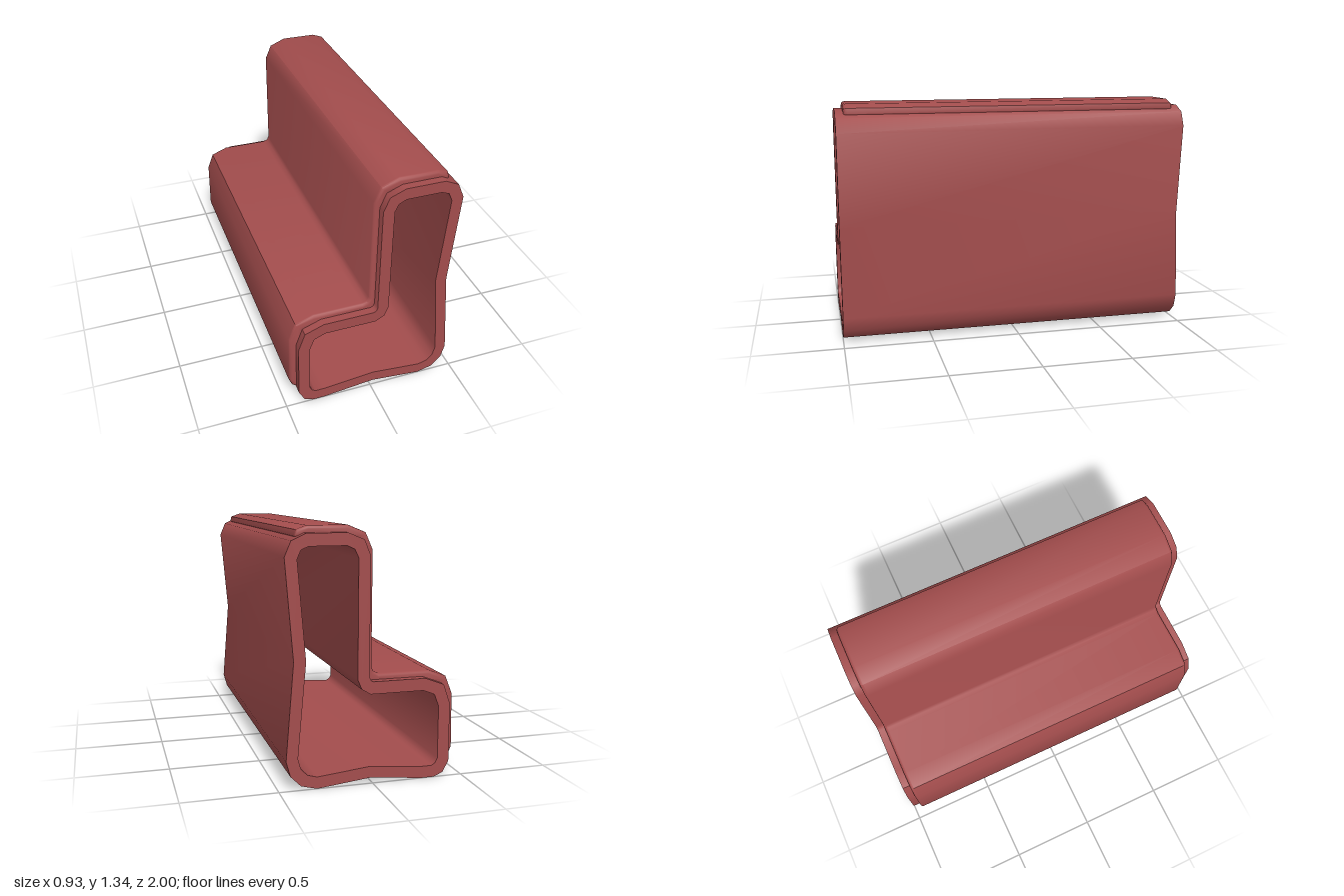
import * as THREE from 'three';
import { toCreasedNormals } from 'three/addons/utils/BufferGeometryUtils.js';

// Cross-sections in x, y, counter-clockwise
const bodyOuter = [
  [0.012, 0.034], [0.30, 0.003], [0.385, 0.025], [0.44, 0.08], [0.462, 0.16],
  [0.42, 0.67], [0.464, 1.19], [0.43, 1.27], [0.355, 1.305], [0.14, 1.305],
  [0.055, 1.27], [0.022, 1.19], [0.022, 0.57], [0.015, 0.553], [0.0, 0.545], [-0.285, 0.545],
  [-0.39, 0.505], [-0.427, 0.40], [-0.427, 0.085], [-0.395, 0.025],
  [-0.345, 0.003], [-0.275, 0.003],
];
const bodyInner = [
  [0.015, 0.095], [0.30, 0.066], [0.35, 0.08], [0.385, 0.115], [0.40, 0.17],
  [0.356, 0.67], [0.40, 1.18], [0.38, 1.225], [0.34, 1.241], [0.145, 1.241],
  [0.105, 1.222], [0.085, 1.18], [0.085, 0.56], [0.063, 0.508], [0.015, 0.48],
  [-0.275, 0.48], [-0.338, 0.455], [-0.363, 0.39], [-0.363, 0.105],
  [-0.35, 0.08], [-0.33, 0.067], [-0.275, 0.067],
];
const padOuter = [
  [0.40, 1.29], [0.393, 1.32], [0.335, 1.341], [0.125, 1.341], [0.03, 1.302],
  [-0.008, 1.215], [-0.008, 0.61], [-0.02, 0.585], [-0.045, 0.575],
  [-0.325, 0.575], [-0.425, 0.536], [-0.463, 0.44], [-0.467, 0.145],
  [-0.448, 0.10], [-0.42, 0.082],
];
// Hidden back of the cushion, buried in the middle of the body wall
const padBuried = [
  [-0.395, 0.10], [-0.395, 0.395], [-0.365, 0.48], [-0.28, 0.512], [0.01, 0.512],
  [0.035, 0.53], [0.053, 0.565], [0.053, 1.185], [0.08, 1.245], [0.14, 1.272],
  [0.345, 1.272], [0.385, 1.265],
];

const toPoints = (list) => list.map(([x, y]) => new THREE.Vector2(x, y));

// Extrudes a cross-section along z, centred, with optional rounded ends
function extrude(name, shape, length, bevel, material) {
  const geometry = new THREE.ExtrudeGeometry(shape, {
    depth: length - 2 * bevel,
    bevelEnabled: bevel > 0,
    bevelThickness: bevel,
    bevelSize: bevel,
    bevelOffset: -bevel,
    bevelSegments: 3,
  });
  geometry.translate(0, 0, -length / 2 + bevel);
  const mesh = new THREE.Mesh(toCreasedNormals(geometry, 0.8), material);
  mesh.name = name;
  return mesh;
}

export function createModel() {
  const group = new THREE.Group();
  group.name = 'bench';
  const material = new THREE.MeshStandardMaterial({ color: 0xa34d4d });

  // Hollow tube forming seat and backrest
  const body = new THREE.Shape(toPoints(bodyOuter));
  body.holes.push(new THREE.Path(toPoints(bodyInner)));
  group.add(extrude('hollowBody', body, 2, 0, material));

  // Thin cushion wrapped over the backrest, seat and front edge
  const pad = new THREE.Shape(toPoints([...padOuter, ...padBuried]));
  group.add(extrude('cushion', pad, 1.91, 0.018, material));

  return group;
}
